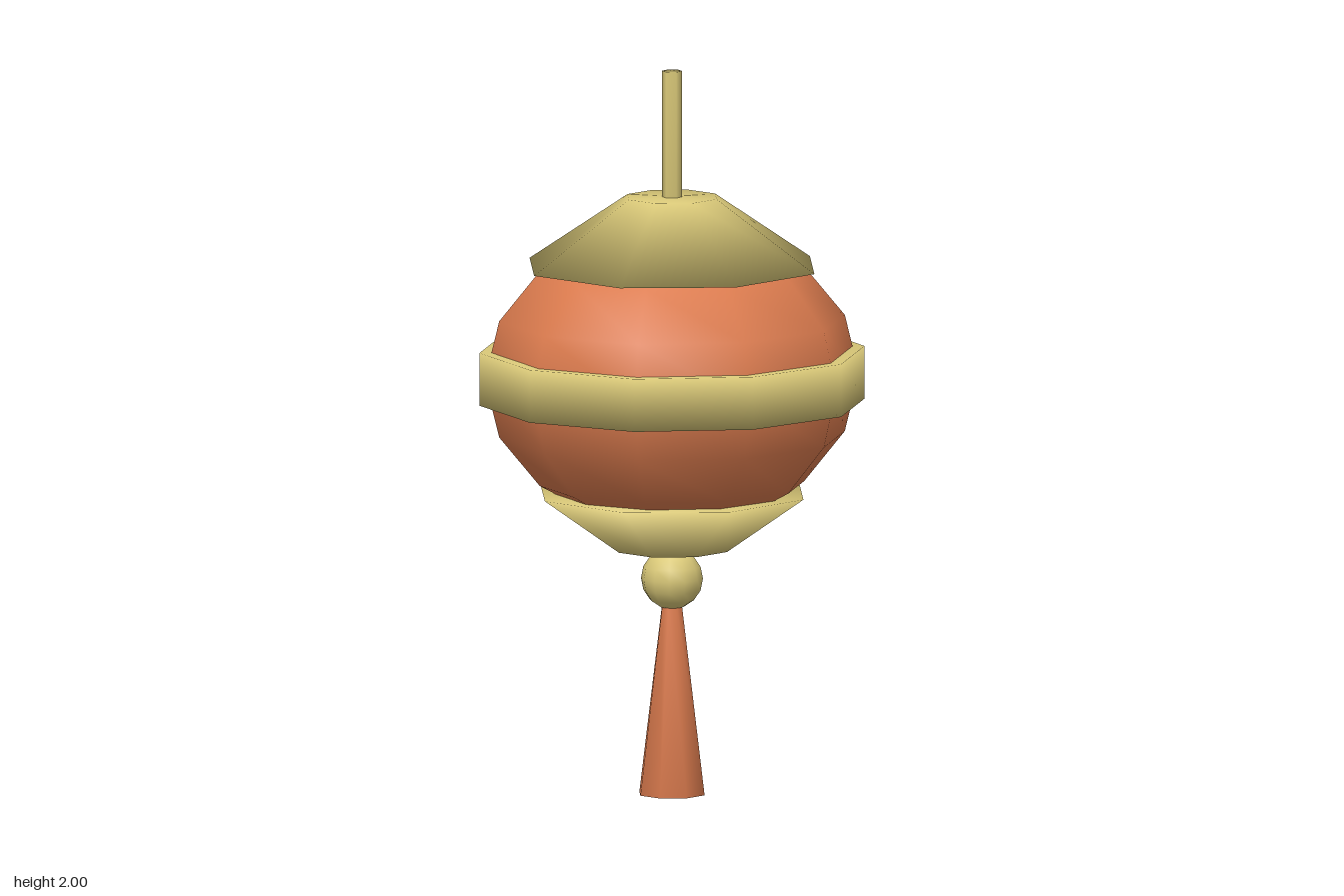
import * as THREE from 'three';

export function createModel() {
  const model = new THREE.Group();
  model.name = 'hangingLantern';

  const material = (name, color) => {
    const m = new THREE.MeshStandardMaterial({ color });
    m.name = name;
    return m;
  };
  const gold = material('gold', 0xd9c878);
  const orange = material('orange', 0xdb7b4e);

  const add = (name, geometry, mat) => {
    const mesh = new THREE.Mesh(geometry, mat);
    mesh.name = name;
    model.add(mesh);
    return mesh;
  };

  // Closed frustum whose soft normals run across its rims
  const frustum = (name, rBottom, rTop, y0, y1, sides, mat) => {
    const profile = [[0, y0], [rBottom, y0], [rTop, y1], [0, y1]];
    const points = profile.map(([r, y]) => new THREE.Vector2(r, y));
    return add(name, new THREE.LatheGeometry(points, sides), mat);
  };

  // Ball with a corner pointing to the front
  const ball = (name, r, ry, y, sides, rings, mat) => {
    const g = new THREE.SphereGeometry(r, sides, rings);
    g.rotateY(Math.PI / 2).scale(1, ry / r, 1).translate(0, y, 0);
    return add(name, g, mat);
  };

  // Lantern body and its middle band
  ball('body', 0.515, 0.42, 1.155, 10, 8, orange);
  frustum('band', 0.53, 0.53, 1.083, 1.229, 10, gold);

  // Caps above and below the body
  frustum('topCap', 0.415, 0.13, 1.46, 1.652, 8, gold);
  frustum('bottomCap', 0.16, 0.383, 0.677, 0.834, 8, gold);

  // Hanging rod
  frustum('rod', 0.028, 0.028, 1.6, 2, 6, gold);

  // Bead and tassel
  ball('bead', 0.085, 0.085, 0.596, 12, 8, gold);
  frustum('tassel', 0.095, 0.028, 0, 0.53, 8, orange);

  return model;
}
